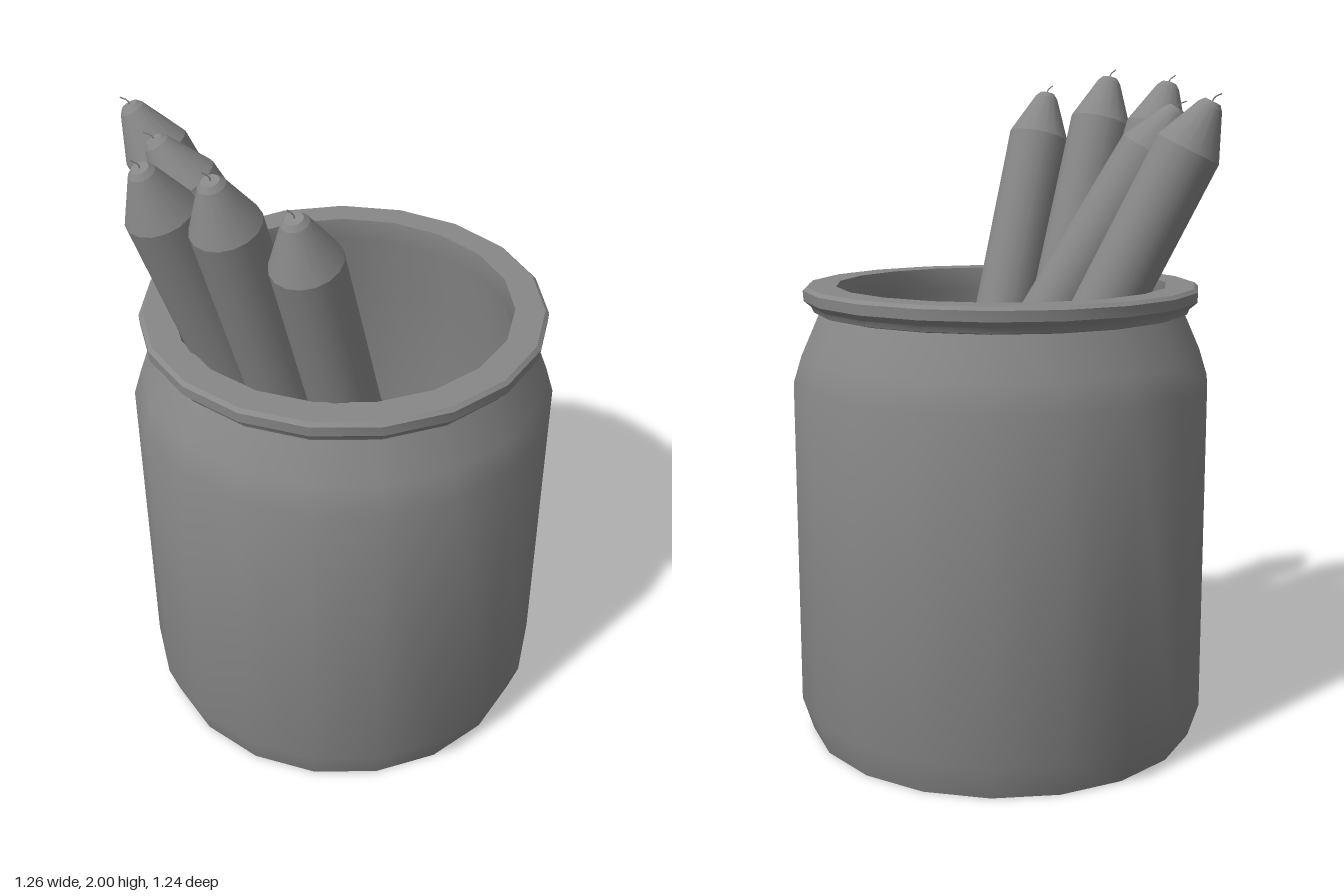
import * as THREE from 'three';
import { toCreasedNormals } from 'three/addons/utils/BufferGeometryUtils.js';

const grey = new THREE.MeshStandardMaterial({ color: 0x888888 });
const V = (x, y, z) => new THREE.Vector3(x, y, z);

function part(name, geometry, y = 0) {
  const mesh = new THREE.Mesh(geometry, grey);
  mesh.name = name;
  mesh.position.y = y;
  return mesh;
}

// Round 19-sided jar with shoulder, flared rim and hollow inside
function createJar() {
  const profile = [
    [0, 0], [0.59, 0], [0.622, 0.1], [0.622, 1.08], [0.597, 1.16], [0.543, 1.282],
    [0.558, 1.286], [0.565, 1.302], [0.587, 1.32], [0.589, 1.35], [0.578, 1.36],
    [0.492, 1.36], [0.492, 1.29], [0.56, 1.08], [0.56, 0.1], [0.53, 0.06], [0, 0.06],
  ].map(([r, y]) => new THREE.Vector2(r, y));
  const jar = part('jar', toCreasedNormals(new THREE.LatheGeometry(profile, 19), 0.5));
  jar.position.set(0.014, 0, -0.004);
  return jar;
}

const LENGTH = 1.88, RADIUS = 0.096, CONE = 0.13, CAP = 0.014;

// Candle along +y, base at the origin: body, tapered end, small cap and wick
function createCandle() {
  const candle = new THREE.Group();
  const bodyLength = LENGTH - CONE - CAP;
  candle.add(
    part('candleBody', new THREE.CylinderGeometry(RADIUS, RADIUS, bodyLength, 16), bodyLength / 2),
    part('candleTaper', new THREE.CylinderGeometry(0.036, RADIUS, CONE, 16, 1, true), bodyLength + CONE / 2),
    part('candleCap', new THREE.CylinderGeometry(0.024, 0.036, CAP, 16), LENGTH - CAP / 2),
  );
  const wickPath = new THREE.CatmullRomCurve3([V(0, -0.01, 0), V(0.001, 0.012, 0), V(-0.012, 0.03, 0.003)]);
  candle.add(part('wick', new THREE.TubeGeometry(wickPath, 5, 0.002, 5), LENGTH));
  return candle;
}

export function createModel() {
  const model = new THREE.Group();
  model.name = 'jarOfCandles';
  model.add(createJar());

  // Each candle: tip x, y, z and base x, z; the base height follows from its length
  const candles = [
    [-0.603, 1.885, -0.1, 0.232, -0.175],
    [-0.49, 1.87, 0.07, 0.46, -0.063],
    [-0.432, 1.95, 0.392, -0.007, -0.063],
    [-0.236, 1.97, 0.467, 0.074, 0.012],
    [-0.021, 1.924, 0.534, 0.25, 0.064],
  ];
  candles.forEach(([x, y, z, bx, bz], i) => {
    const drop = Math.sqrt(LENGTH ** 2 - (x - bx) ** 2 - (z - bz) ** 2);
    const base = V(bx, y - drop, bz);
    const candle = createCandle();
    candle.name = `candle${i + 1}`;
    candle.position.copy(base);
    candle.quaternion.setFromUnitVectors(V(0, 1, 0), V(x, y, z).sub(base).normalize());
    model.add(candle);
  });
  return model;
}
